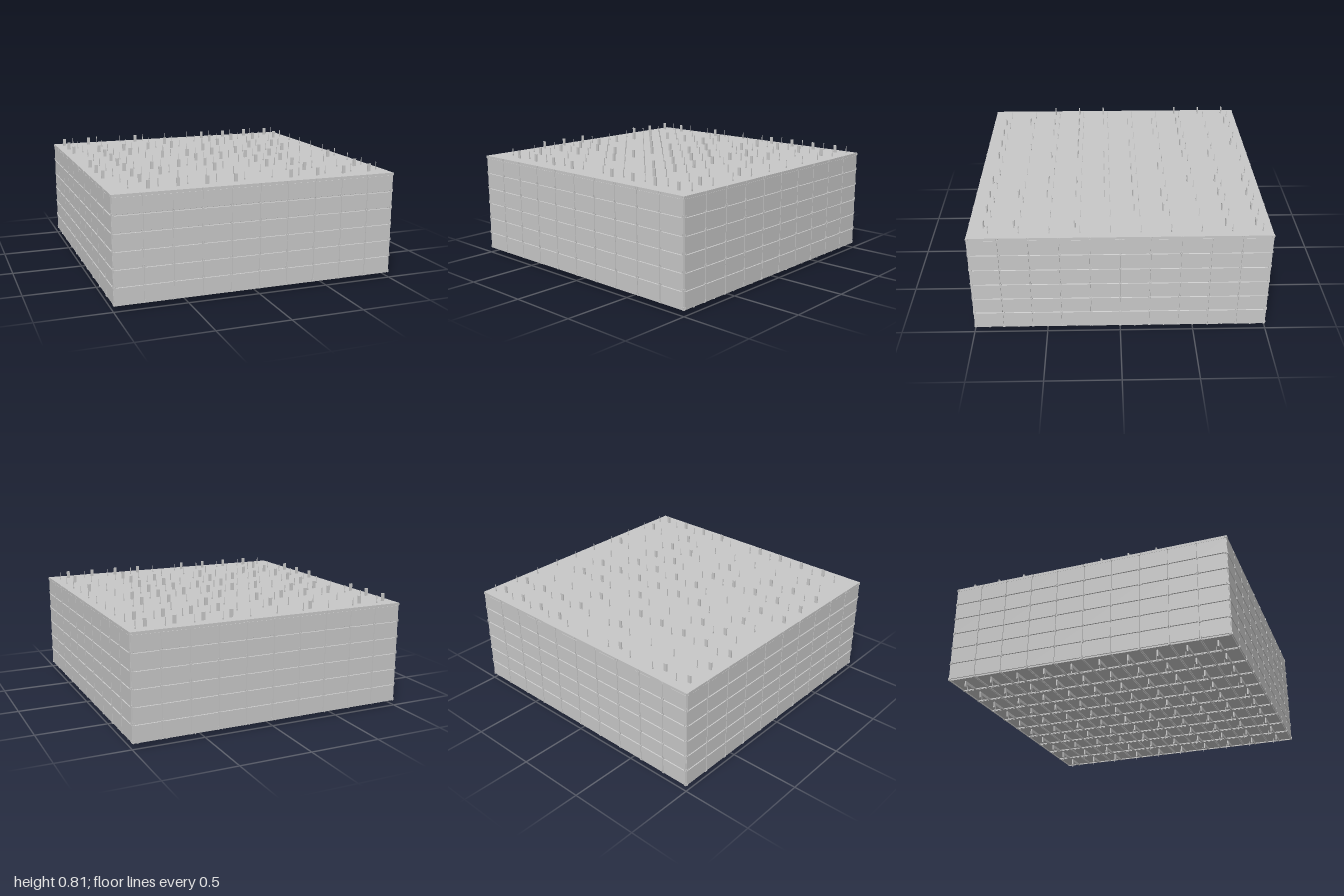
import * as THREE from 'three';
import { mergeGeometries } from 'three/addons/utils/BufferGeometryUtils.js';

const N = 10, LAYERS = 6, PITCH = 0.199, ROW = 0.1165;
const Y0 = 0.043, Y1 = Y0 + ROW * LAYERS, TOP = 0.757, HALF = 0.997;

// Tiles of the top deck that carry a connector blade, row by row from the back
const BLADES = ['0136789', '046789', '012346', '12578', '1345678',
  '014567', '01234679', '012467', '179', '12346789'];

const box = (w, h, d, x, y, z) => new THREE.BoxGeometry(w, h, d).translate(x, y, z);
const centre = (i) => (i - (N - 1) / 2) * PITCH;

export function createModel() {
  const grey = new THREE.MeshStandardMaterial({ color: 0xc8c8c8 });
  const model = new THREE.Group();
  const add = (name, parts, parent = model) => {
    const mesh = new THREE.Mesh(mergeGeometries(parts), grey);
    mesh.name = name;
    parent.add(mesh);
    return mesh;
  };

  // Solid core with the smooth deck on top
  add('core', [box(1.982, Y1 - Y0, 1.982, 0, (Y0 + Y1) / 2, 0)]);
  add('topDeck', [box(HALF * 2, TOP - Y1 + 0.004, HALF * 2, 0, (TOP + Y1 - 0.004) / 2, 0)]);

  // Chamfered wall panel, facing +z
  const panel = () => {
    const g = new THREE.BoxGeometry(PITCH - 0.003, ROW - 0.004, 0.009);
    const p = g.attributes.position;
    for (let i = 0; i < p.count; i++) {
      if (p.getZ(i) > 0) p.setXY(i, p.getX(i) * 0.99, p.getY(i) * 0.95);
    }
    g.computeVertexNormals();
    return g;
  };

  // Four identical walls of panels and small U-shaped clips at the crossings
  for (const [k, side] of ['front', 'left', 'back', 'right'].entries()) {
    const wall = new THREE.Group();
    wall.name = side + 'Wall';
    wall.rotation.y = k * Math.PI / 2;
    const panels = [], clips = [];
    for (let c = 0; c < N; c++) {
      for (let r = 0; r < LAYERS; r++) {
        panels.push(panel().translate(centre(c), Y0 + ROW * (r + 0.5), HALF - 0.0045));
      }
    }
    for (let c = 0; c <= N; c++) {
      const x = THREE.MathUtils.clamp((c - N / 2) * PITCH, -0.988, 0.988);
      for (let r = 0; r <= LAYERS; r++) {
        const y = Y0 + ROW * r;
        clips.push(box(0.016, 0.004, 0.008, x, y - 0.002, 0.996));
        for (const s of [-1, 1]) clips.push(box(0.003, 0.018, 0.008, x + s * 0.0065, y + 0.005, 0.996));
      }
    }
    add('wallPanels', panels, wall);
    add('panelClips', clips, wall);
    model.add(wall);
  }

  // Raised rims around the tiles of the underside
  const ribs = [];
  for (let i = 0; i < N; i++) {
    for (const s of [-1, 1]) {
      const a = centre(i) + s * (PITCH / 2 - 0.005);
      ribs.push(box(0.005, 0.012, HALF * 2, a, 0.041, 0));
      ribs.push(box(HALF * 2, 0.012, 0.005, 0, 0.041, a));
    }
  }
  add('undersideRims', ribs);

  // Connectors on each tile: blades and needles above, latches below
  const blades = [], needles = [], feet = [], latches = [], lowerNeedles = [];
  for (let r = 0; r < N; r++) {
    for (let c = 0; c < N; c++) {
      const x = centre(c), z = centre(r);
      const bx = x - 0.034, nx = x + 0.042, nz = z - 0.036;
      if (BLADES[r].includes(String(c))) blades.push(box(0.023, 0.058, 0.009, bx, 0.783, z));
      needles.push(box(0.004, 0.056, 0.004, nx, 0.784, nz));
      needles.push(box(0.007, 0.012, 0.007, nx, TOP + 0.005, nz));
      feet.push(box(0.023, 0.046, 0.009, bx, 0.023, z));
      latches.push(box(0.085, 0.022, 0.009, x + 0.015, 0.033, z));
      latches.push(box(0.045, 0.012, 0.009, x + 0.075, 0.037, z));
      lowerNeedles.push(box(0.004, 0.04, 0.004, nx, 0.024, nz));
    }
  }
  add('topBlades', blades);
  add('topNeedles', needles);
  add('bottomBlades', feet);
  add('bottomLatches', latches);
  add('bottomNeedles', lowerNeedles);
  return model;
}
